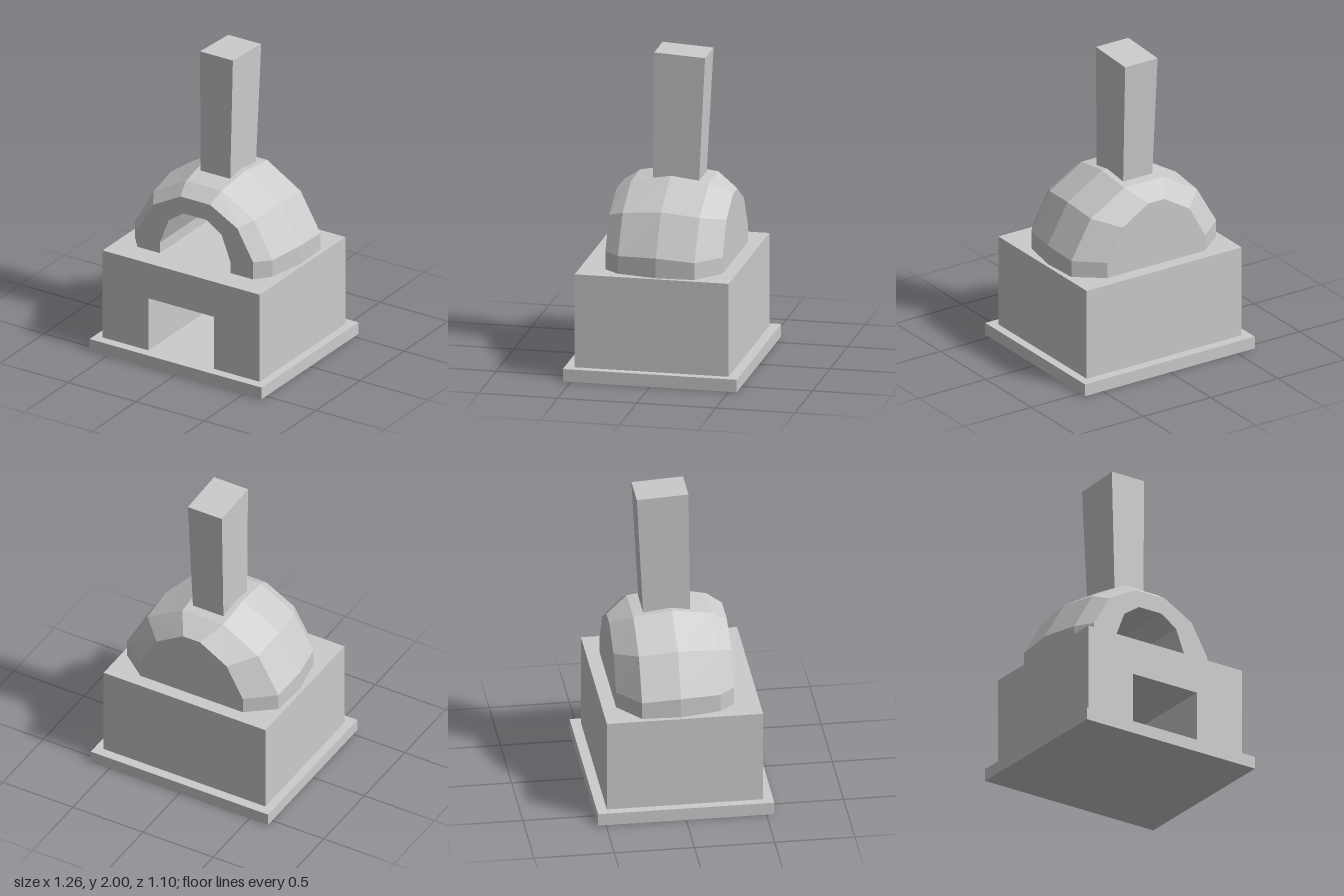
import * as THREE from 'three';

const material = new THREE.MeshStandardMaterial({ color: 0xcccccc, flatShading: true });

function add(group, name, geometry, x = 0, y = 0, z = 0) {
  const mesh = new THREE.Mesh(geometry, material);
  mesh.name = name;
  mesh.position.set(x, y, z);
  group.add(mesh);
}

// An arch of eight points, from left foot over the crown to right foot.
// half: [x, y] pairs of the right half, from crown to spring line.
function arch(floor, half, z) {
  const right = [...half, [half[half.length - 1][0], floor]];
  const left = right.map(([x, y]) => [-x, y]).reverse();
  return [...left, ...right].map(([x, y]) => new THREE.Vector3(x, y, z));
}

// Skin a row of arches, closing the first and the last with a flat wall.
function loftArches(rings) {
  const pos = [];
  const tri = (...pts) => pts.forEach((p) => pos.push(p.x, p.y, p.z));
  for (let r = 0; r < rings.length - 1; r++) {
    const a = rings[r], b = rings[r + 1];
    for (let i = 0; i < a.length - 1; i++) {
      tri(a[i], b[i], b[i + 1]);
      tri(a[i], b[i + 1], a[i + 1]);
    }
  }
  const first = rings[0], last = rings[rings.length - 1];
  for (let i = 1; i < first.length - 1; i++) {
    tri(first[0], first[i], first[i + 1]);
    tri(last[0], last[i + 1], last[i]);
  }
  const geometry = new THREE.BufferGeometry();
  geometry.setAttribute('position', new THREE.Float32BufferAttribute(pos, 3));
  geometry.computeVertexNormals();
  return geometry;
}

export function createModel() {
  const model = new THREE.Group();
  model.name = 'brickOven';

  // Ground slab
  add(model, 'slab', new THREE.BoxGeometry(1.265, 0.08, 1.1), 0, 0.04, 0);

  // Plinth: a block with a wood store open to the front
  const w = 0.577, d = 0.487, bottom = 0.08, top = 0.677, storeBack = -0.36;
  const outline = new THREE.Shape();
  [[-w, bottom], [-0.24, bottom], [-0.24, 0.437], [0.24, 0.437], [0.24, bottom],
    [w, bottom], [w, top], [-w, top]].forEach(([x, y], i) =>
    i ? outline.lineTo(x, y) : outline.moveTo(x, y));
  const plinth = new THREE.Group();
  plinth.name = 'plinth';
  add(plinth, 'plinthFront',
    new THREE.ExtrudeGeometry(outline, { depth: d - storeBack, bevelEnabled: false }), 0, 0, storeBack);
  add(plinth, 'plinthBack', new THREE.BoxGeometry(2 * w, top - bottom, d + storeBack),
    0, (top + bottom) / 2, (storeBack - d) / 2);
  model.add(plinth);

  // Faceted dome, from the back wall to the mouth and into the oven chamber
  const mouth = [[0.085, 0.995], [0.195, 0.92], [0.26, 0.75]];
  add(model, 'dome', loftArches([
    arch(top, [[0.06, 1.105], [0.25, 0.99], [0.365, 0.78]], -0.4),
    arch(top, [[0.145, 1.182], [0.395, 1.035], [0.54, 0.785]], -0.262),
    arch(top, [[0.148, 1.21], [0.403, 1.058], [0.553, 0.803]], -0.02),
    arch(top, [[0.13, 1.168], [0.37, 1.03], [0.505, 0.79]], 0.23),
    arch(top, [[0.11, 1.105], [0.31, 0.995], [0.425, 0.795]], 0.327),
    arch(top, mouth, 0.327),
    arch(top, mouth, -0.27),
  ]));

  // Chimney: a box flaring upwards and leaning slightly back
  const chimney = new THREE.BoxGeometry(1, 1, 1);
  const p = chimney.attributes.position;
  for (let i = 0; i < p.count; i++) {
    const up = p.getY(i) > 0, front = p.getZ(i) > 0;
    const x = Math.sign(p.getX(i)) * (up ? 0.121 : 0.108);
    if (up) p.setXYZ(i, x, front ? 2 : 1.983, front ? 0.086 : -0.236);
    else p.setXYZ(i, x, 1.14, front ? 0.098 : -0.193);
  }
  chimney.computeVertexNormals();
  add(model, 'chimney', chimney);

  return model;
}
